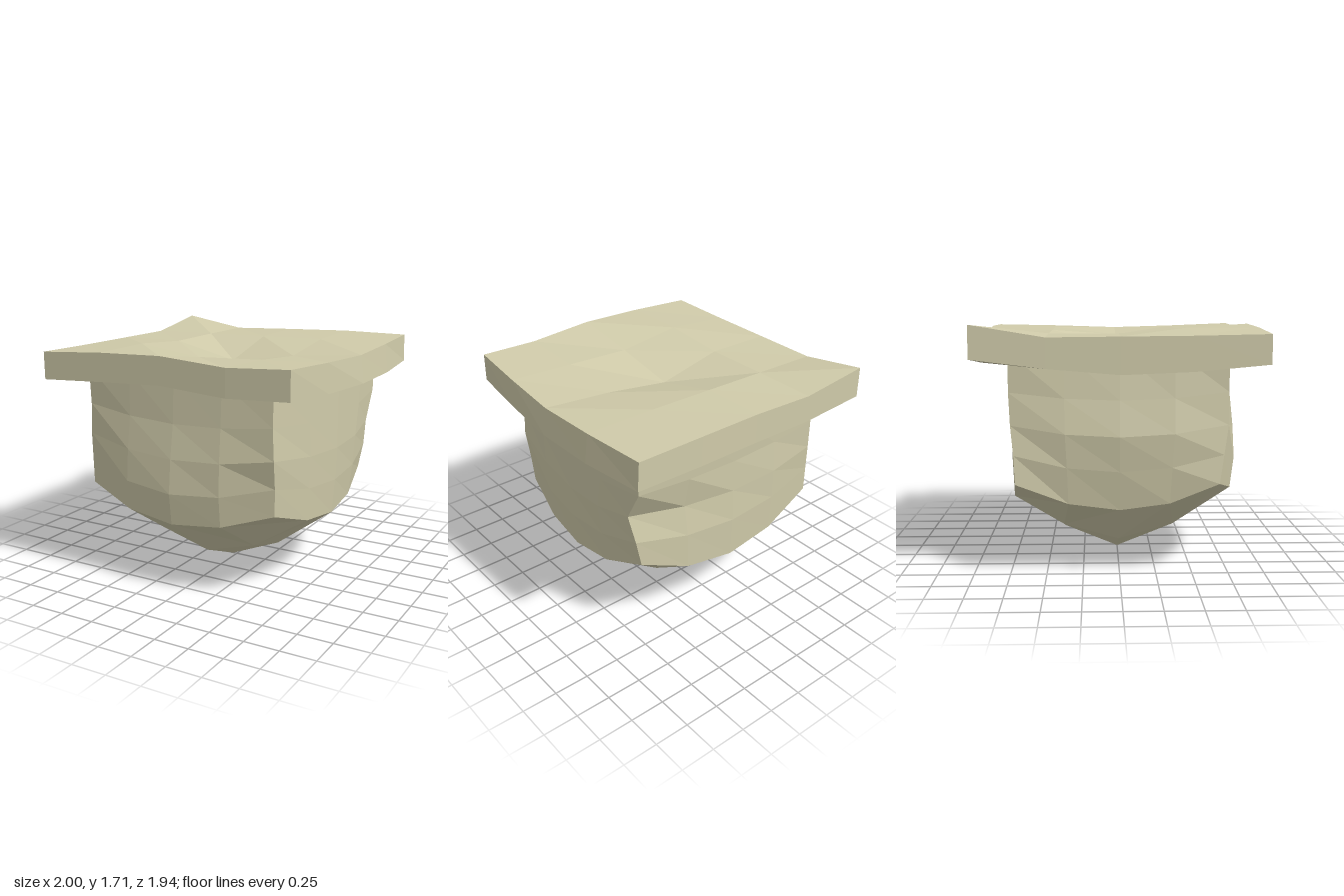
import * as THREE from 'three';

const V = (x, y, z) => new THREE.Vector3(x, y, z);

// Perimeter cell of a 5 x 5 grid (row 0 = back), counterclockwise from front left
function ringCell(i) {
  const s = Math.floor(i / 4) % 4, k = i % 4;
  return [[4, k], [4 - k, 4], [0, 4 - k], [k, 0]][s];
}
const perimeter = (grid) => Array.from({ length: 16 }, (_, i) => {
  const [r, c] = ringCell(i);
  return grid[r][c];
});

// Quads between two closed loops
function wall(quads, top, bottom) {
  top.forEach((p, i) => {
    const j = (i + 1) % top.length;
    quads.push([p, bottom[i], bottom[j], top[j]]);
  });
}

// Quads of a 5 x 5 grid, facing up or down
function sheet(quads, g, up) {
  for (let r = 0; r < 4; r++) for (let c = 0; c < 4; c++) {
    const q = [g[r][c], g[r + 1][c], g[r + 1][c + 1], g[r][c + 1]];
    quads.push(up ? q : q.reverse());
  }
}

function facetedMesh(name, quads, material) {
  const pts = quads.flatMap(([a, b, c, d]) => [a, b, c, a, c, d]);
  const geo = new THREE.BufferGeometry().setFromPoints(pts);
  geo.computeVertexNormals();
  const mesh = new THREE.Mesh(geo, material);
  mesh.name = name;
  return mesh;
}

// Uneven slab: heights on a 5 x 5 grid, rows from back to front
function slabQuads() {
  const xs = [-1, -0.51, -0.03, 0.46, 0.95], zs = [-0.97, -0.48, 0, 0.48, 0.97];
  const topY = [
    [1.71, 1.635, 1.655, 1.67, 1.67],
    [1.63, 1.64, 1.65, 1.66, 1.66],
    [1.635, 1.64, 1.53, 1.60, 1.645],
    [1.64, 1.68, 1.62, 1.64, 1.66],
    [1.65, 1.68, 1.695, 1.66, 1.68]];
  const bottomY = [
    [1.49, 1.44, 1.445, 1.46, 1.47],
    [1.43, 1.43, 1.45, 1.45, 1.455],
    [1.39, 1.43, 1.45, 1.45, 1.45],
    [1.41, 1.44, 1.46, 1.45, 1.455],
    [1.455, 1.48, 1.50, 1.465, 1.48]];
  const rightTop = [0.95, 0.975, 0.975, 0.94, 0.9];
  const rightBottom = [0.96, 1.0, 1.0, 0.95, 0.9];
  const grid = (ys, right) => ys.map((row, r) => row.map((y, c) => {
    const z = r === 0 && (c === 1 || c === 2) ? -0.95 : r === 4 && c === 4 ? 0.945 : zs[r];
    return V(c === 4 ? right[r] : xs[c], y, z);
  }));
  const top = grid(topY, rightTop), bottom = grid(bottomY, rightBottom);
  const quads = [];
  sheet(quads, top, true);
  sheet(quads, bottom, false);
  wall(quads, perimeter(top), perimeter(bottom));
  return quads;
}

// Rounded block: five rings, each from four corners and four bulging side middles
function blockQuads() {
  const cornerY = [1.53, 1.26, 1.04, 0.84, 0.645];
  const midY = [1.53, 1.21, 0.97, 0.73];
  const cornerX = [
    [-0.8, -0.79, -0.8, -0.82, -0.84], [0.7, 0.7, 0.71, 0.7, 0.69],
    [0.79, 0.79, 0.79, 0.76, 0.72], [-0.8, -0.8, -0.81, -0.83, -0.84]];
  const cornerZ = [
    [0.73, 0.73, 0.73, 0.7, 0.67], [0.77, 0.78, 0.78, 0.74, 0.72],
    [-0.77, -0.75, -0.63, -0.675, -0.68], [-0.74, -0.74, -0.73, -0.71, -0.7]];
  // front, right, back, left: outward position per ring, then lowest height
  const mid = [
    [0.79, 0.81, 0.85, 0.875, 0.85], [0.82, 0.82, 0.82, 0.81, 0.79],
    [-0.77, -0.75, -0.75, -0.76, -0.75], [-0.82, -0.85, -0.885, -0.85, -0.8]];
  const lowY = [0.505, 0.48, 0.43, 0.46];

  const rings = cornerY.map((cy, k) => {
    const ring = [];
    for (let s = 0; s < 4; s++) {
      const corner = (n) => V(cornerX[n % 4][k], cy, cornerZ[n % 4][k]);
      const a = corner(s), c = corner(s + 1);
      const y = k === 4 ? lowY[s] : midY[k];
      const b = s % 2 ? V(mid[s][k], y, 0) : V(-0.04, y, mid[s][k]);
      const quarter = (p, q) => p.clone().multiplyScalar(0.375)
        .addScaledVector(b, 0.75).addScaledVector(q, -0.125);
      ring.push(a, quarter(a, c), b, quarter(c, a));
    }
    return ring;
  });
  const quads = [];
  for (let k = 0; k < 4; k++) wall(quads, rings[k], rings[k + 1]);

  // Domed underside
  const dome = [];
  for (let r = 0; r < 5; r++) {
    dome.push([]);
    for (let c = 0; c < 5; c++) {
      const u = c - 2, v = r - 2;
      dome[r].push(V(-0.03 + u * 0.39, [0, 0.16, 0.27][Math.min(2, Math.abs(u) + Math.abs(v))], v * 0.39));
    }
  }
  rings[4].forEach((p, i) => {
    const [r, c] = ringCell(i);
    dome[r][c] = p;
  });
  sheet(quads, dome, false);
  return quads;
}

export function createModel() {
  const stone = new THREE.MeshStandardMaterial({ color: 0xd0cbaa, flatShading: true });
  stone.name = 'pale stone';
  const group = new THREE.Group();
  group.name = 'stonePlatform';
  group.add(facetedMesh('topSlab', slabQuads(), stone), facetedMesh('roundedBase', blockQuads(), stone));
  return group;
}
